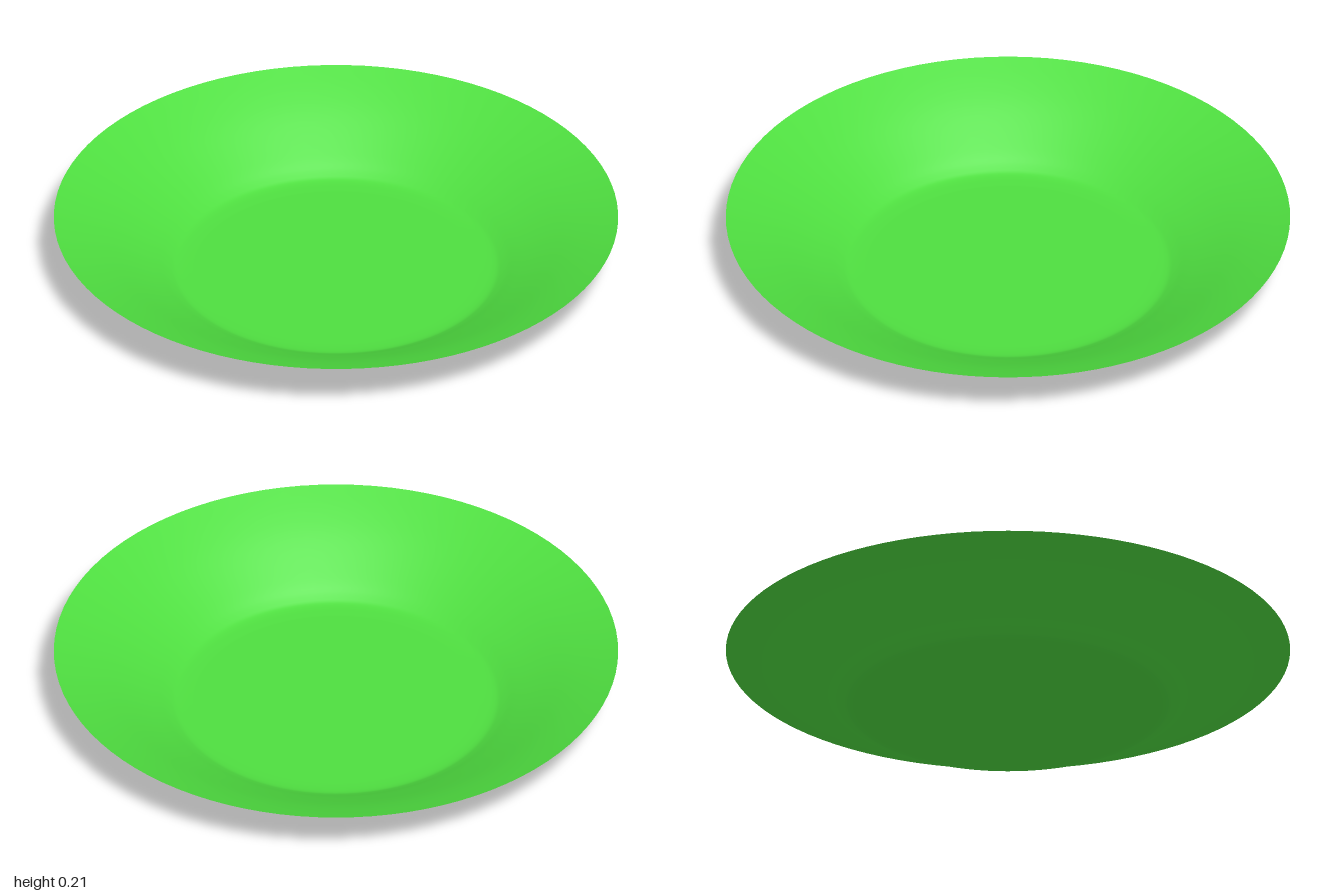
import * as THREE from 'three';

export function createModel() {
  const group = new THREE.Group();
  group.name = 'plate';

  // Thin dish: flat base, rounded foot, flaring wall up to the rim
  const profile = new THREE.Path();
  profile.moveTo(0, 0);
  profile.lineTo(0.5, 0);
  profile.splineThru([
    [0.56, 0.004], [0.595, 0.018], [0.66, 0.054],
    [0.8, 0.127], [0.9, 0.173], [1, 0.214],
  ].map(([r, y]) => new THREE.Vector2(r, y)));

  const dish = new THREE.Mesh(
    new THREE.LatheGeometry(profile.getPoints(4), 96),
    new THREE.MeshStandardMaterial({ color: 0x4fdf40, side: THREE.DoubleSide }),
  );
  dish.name = 'dish';
  group.add(dish);
  return group;
}
